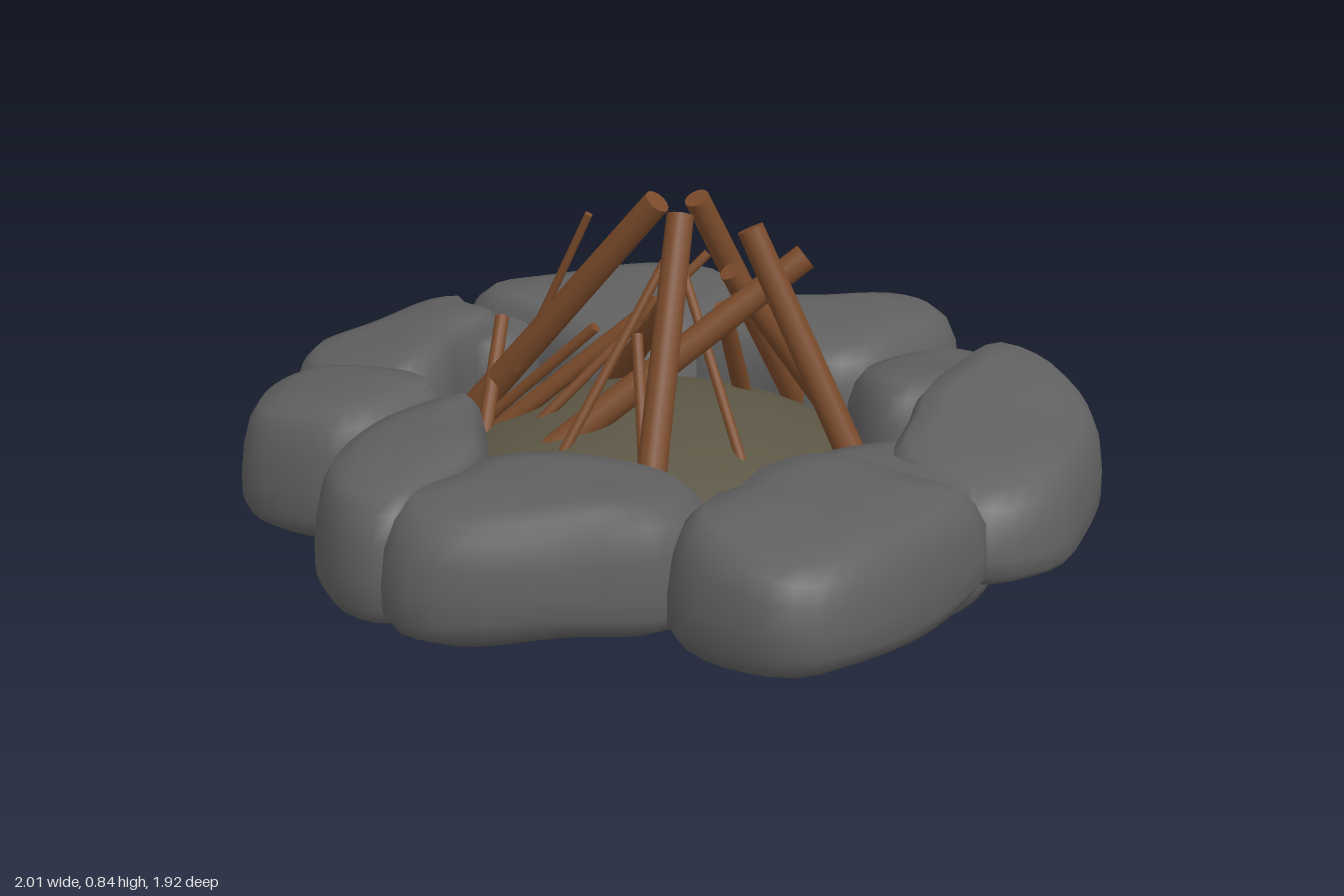
import * as THREE from 'three';

const stone = new THREE.MeshStandardMaterial({ color: 0x606060 });
const wood = new THREE.MeshStandardMaterial({ color: 0x7a4a2a });
const soil = new THREE.MeshStandardMaterial({ color: 0x5c5645, side: THREE.DoubleSide });

// Half profile of a boulder, bottom to top: [outline scale, height fraction]
const PROFILE = [[0, 0], [0.5, 0], [0.8, 0.02], [0.93, 0.09], [1, 0.22], [1, 0.42],
  [0.97, 0.65], [0.9, 0.84], [0.79, 0.95], [0.55, 0.99], [0.3, 1], [0, 1]];

// Boulder: a smooth plan outline (x, z pairs) lofted through the profile; its top slopes by tiltX, tiltZ
function boulder(name, outline, y0, y1, tiltX = 0, tiltZ = 0) {
  const N = 36, top = PROFILE.length - 1;
  const pts = [];
  for (let i = 0; i < outline.length; i += 2) pts.push(new THREE.Vector3(outline[i], 0, outline[i + 1]));
  const ring = new THREE.CatmullRomCurve3(pts, true, 'centripetal').getSpacedPoints(N).slice(0, N);
  const c = new THREE.Vector3();
  ring.forEach(p => c.addScaledVector(p, 1 / N));
  const pos = [], idx = [];
  // the first and last rows are single shared pole vertices
  const at = (i, j) => (i === 0 ? 0 : i === top ? top * N : i * N + (j % N));
  PROFILE.forEach(([s, h], i) => ring.forEach((p, j) => {
    const dx = (p.x - c.x) * s * 1.02, dz = (p.z - c.z) * s * 1.02;
    const lump = 0.012 * s * Math.sin(9 * p.x + 5 * h) * Math.cos(8 * p.z);
    pos.push(c.x + dx, y0 + (y1 - y0) * h + (dx * tiltX + dz * tiltZ) * h + lump, c.z + dz);
    if (i === top) return;
    const a = at(i, j), b = at(i, j + 1), d = at(i + 1, j), e = at(i + 1, j + 1);
    if (a !== b) idx.push(a, d, b);
    if (d !== e) idx.push(b, d, e);
  }));
  const geo = new THREE.BufferGeometry();
  geo.setAttribute('position', new THREE.Float32BufferAttribute(pos, 3));
  geo.setIndex(idx);
  geo.computeVertexNormals();
  const mesh = new THREE.Mesh(geo, stone);
  mesh.name = name;
  return mesh;
}

// Straight round stick from foot to tip, a little thicker at the foot
function stick(name, foot, tip, r) {
  const a = new THREE.Vector3(...foot), b = new THREE.Vector3(...tip);
  const dir = b.clone().sub(a);
  const mesh = new THREE.Mesh(new THREE.CylinderGeometry(r * 0.93, r * 1.07, dir.length(), 14), wood);
  mesh.position.copy(a).add(b).multiplyScalar(0.5);
  mesh.quaternion.setFromUnitVectors(new THREE.Vector3(0, 1, 0), dir.normalize());
  mesh.name = name;
  return mesh;
}

export function createModel() {
  const model = new THREE.Group();

  // Ring of boulders
  const stones = new THREE.Group();
  stones.name = 'stoneRing';
  stones.add(
    boulder('backRightStone', [-0.78, -0.51, -0.72, -0.64, -0.58, -0.8, -0.3, -0.95, -0.2, -0.93, -0.09, -0.8,
      -0.07, -0.55, -0.15, -0.38, -0.37, -0.34, -0.53, -0.39, -0.74, -0.43], 0.07, 0.37),
    boulder('backStone', [-0.19, -0.52, -0.1, -0.79, 0.09, -0.88, 0.28, -0.95, 0.4, -0.9, 0.45, -0.79,
      0.41, -0.64, 0.33, -0.47, 0.22, -0.41, 0.08, -0.44, -0.12, -0.45], 0.07, 0.37),
    boulder('backLeftStone', [0.4, -0.87, 0.51, -0.89, 0.66, -0.7, 0.67, -0.54, 0.57, -0.2, 0.47, -0.19,
      0.35, -0.32, 0.32, -0.48, 0.37, -0.7], 0.07, 0.33, 0, 0.22),
    boulder('leftStone', [0.64, -0.58, 0.78, -0.57, 0.95, -0.4, 1, -0.13, 0.99, 0.02, 0.88, 0.17,
      0.72, 0.17, 0.6, 0.08, 0.57, -0.1, 0.55, -0.22, 0.58, -0.4], 0.07, 0.37, -0.2, -0.14),
    boulder('lowLeftStone', [0.5, -0.06, 0.58, -0.15, 0.78, -0.1, 0.86, 0.08, 0.8, 0.27, 0.65, 0.32,
      0.45, 0.3, 0.37, 0.2], 0.01, 0.32),
    boulder('frontLeftStone', [0.49, 0.12, 0.7, 0.1, 0.86, 0.13, 0.87, 0.3, 0.78, 0.67, 0.69, 0.79,
      0.59, 0.8, 0.38, 0.73, 0.33, 0.57, 0.36, 0.43, 0.36, 0.3], 0.07, 0.36, -0.1, 0),
    boulder('frontStone', [-0.2, 0.49, 0.09, 0.39, 0.27, 0.38, 0.37, 0.49, 0.36, 0.66, 0.17, 0.81,
      -0.07, 0.95, -0.18, 0.94, -0.26, 0.83, -0.23, 0.67], 0.07, 0.375),
    boulder('frontRightStone', [-0.37, 0.2, -0.26, 0.35, -0.15, 0.57, -0.17, 0.78, -0.2, 0.9, -0.3, 0.91,
      -0.42, 0.83, -0.5, 0.7, -0.52, 0.46, -0.47, 0.3], 0.07, 0.39, 0.1, -0.06),
    boulder('rightFrontStone', [-0.78, 0.09, -0.61, 0.13, -0.41, 0.26, -0.42, 0.35, -0.53, 0.54, -0.77, 0.54,
      -0.85, 0.46, -0.91, 0.27, -0.87, 0.14], 0.07, 0.385, 0.17, 0),
    boulder('rightStone', [-0.87, -0.51, -0.78, -0.52, -0.7, -0.42, -0.57, -0.34, -0.6, -0.18, -0.56, 0.01,
      -0.61, 0.14, -0.8, 0.15, -0.93, 0.09, -1, -0.07, -0.96, -0.29], 0.07, 0.35, 0.2, 0),
    boulder('smallRightStone', [-0.7, -0.43, -0.56, -0.46, -0.5, -0.33, -0.58, -0.2, -0.68, -0.25], 0.08, 0.32));

  // Mound of earth inside the ring
  const mound = [[0, 0.33], [0.12, 0.325], [0.25, 0.3], [0.38, 0.25], [0.52, 0.18], [0.65, 0.11]];
  const bed = new THREE.Mesh(
    new THREE.LatheGeometry(mound.map(p => new THREE.Vector2(...p)).reverse(), 40), soil);
  bed.position.z = -0.01;
  bed.name = 'earthBed';

  // Leaning logs: foot, tip, radius
  const logs = new THREE.Group();
  logs.name = 'logs';
  [
    [[-0.6, 0.1, 0], [0, 0.82, 0], 0.034],
    [[0.56, 0.08, -0.05], [0.21, 0.77, -0.05], 0.034],
    [[0.18, 0.08, 0.48], [0.09, 0.82, 0.07], 0.034],
    [[-0.24, 0.19, 0.26], [0.31, 0.69, -0.14], 0.034],
    [[0.21, 0.08, -0.5], [0.03, 0.79, -0.15], 0.032],
    [[0.38, 0.08, -0.42], [0.16, 0.66, -0.05], 0.028],
    [[-0.38, 0.08, -0.4], [0.01, 0.56, -0.03], 0.028],
    [[0.07, 0.08, -0.42], [0.12, 0.55, -0.1], 0.022],
    [[-0.52, 0.1, 0.12], [-0.03, 0.55, -0.07], 0.022],
  ].forEach(l => logs.add(stick('log', ...l)));

  // Thin kindling
  const kindling = new THREE.Group();
  kindling.name = 'kindling';
  [
    [[-0.4, 0.1, 0.22], [0.06, 0.66, -0.15], 0.012],
    [[-0.18, 0.1, 0.36], [0.02, 0.68, 0], 0.012],
    [[0.39, 0.1, 0.23], [-0.01, 0.66, -0.13], 0.012],
    [[-0.36, 0.1, 0.24], [-0.46, 0.44, -0.1], 0.018],
    [[-0.36, 0.36, 0.02], [-0.17, 0.77, 0.01], 0.01],
    [[0.16, 0.1, 0.38], [0.02, 0.55, 0.15], 0.014],
    [[-0.57, 0.1, 0.06], [-0.15, 0.5, 0.02], 0.014],
    [[-0.22, 0.08, -0.4], [0.0, 0.5, -0.1], 0.014],
  ].forEach(l => kindling.add(stick('kindlingStick', ...l)));

  model.add(stones, bed, logs, kindling);
  return model;
}
